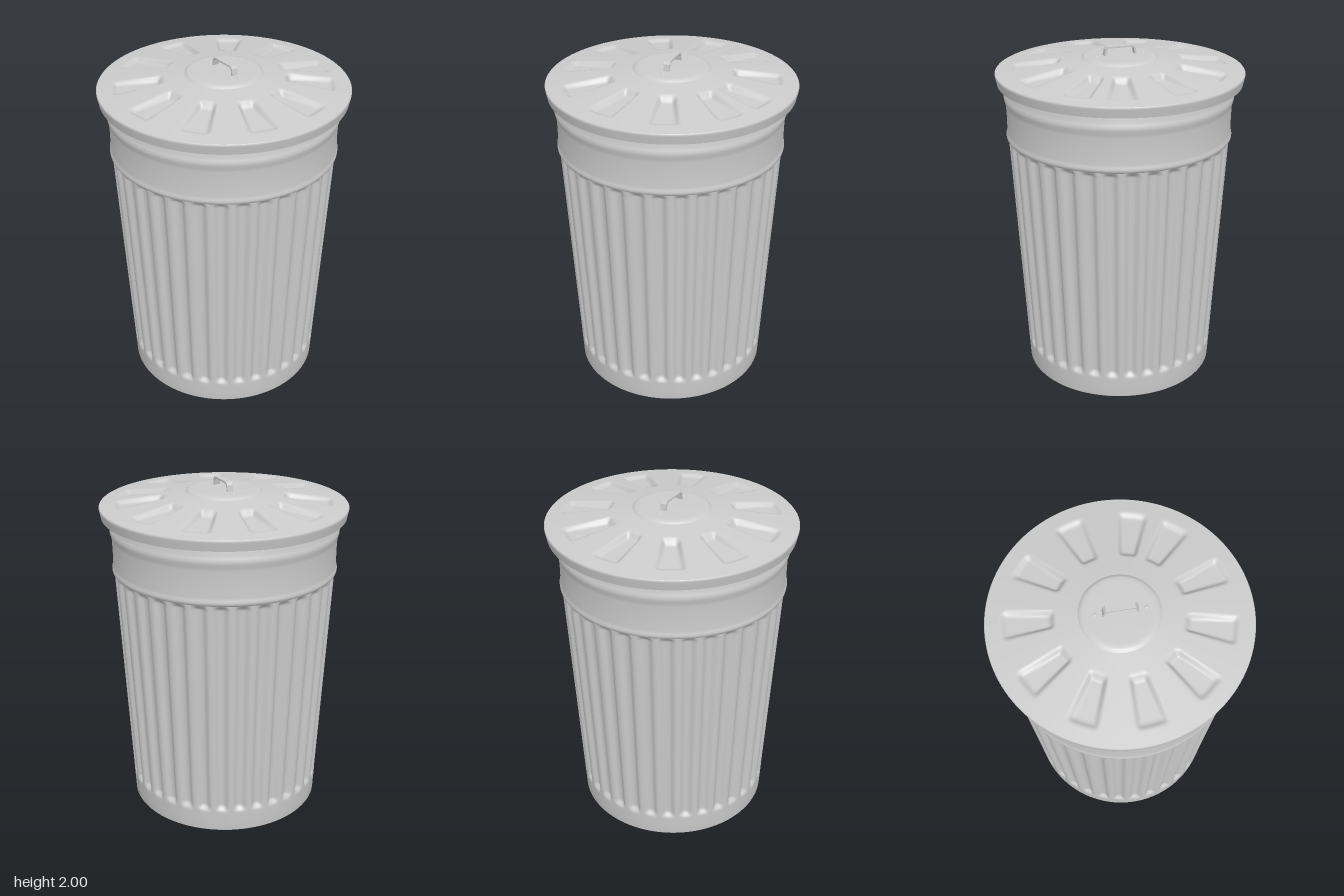
import * as THREE from 'three';
import { mergeVertices } from 'three/addons/utils/BufferGeometryUtils.js';

const material = new THREE.MeshStandardMaterial({ color: 0xcccccc, side: THREE.DoubleSide });
const { smoothstep, lerp } = THREE.MathUtils;

// Lathe from [radius, y] pairs
function lathe(points, segments) {
  return new THREE.LatheGeometry(points.map(([r, y]) => new THREE.Vector2(r, y)), segments);
}

// Move every vertex by rule(vertex, radius, angle), then weld and smooth
function deform(geometry, rule) {
  geometry.deleteAttribute('uv');
  geometry.deleteAttribute('normal');
  const pos = geometry.attributes.position;
  const v = new THREE.Vector3();
  for (let i = 0; i < pos.count; i++) {
    v.fromBufferAttribute(pos, i);
    rule(v, Math.hypot(v.x, v.z), Math.atan2(v.z, v.x));
    pos.setXYZ(i, v.x, v.y, v.z);
  }
  const welded = mergeVertices(geometry, 1e-5);
  welded.computeVertexNormals();
  return welded;
}

function add(parent, name, geometry) {
  const mesh = new THREE.Mesh(geometry, material);
  mesh.name = name;
  parent.add(mesh);
  return mesh;
}

// Tapered wall with vertical flutes pressed inward
function flutedWall() {
  const flutes = 34, bottom = 0.13, top = 1.475;
  const wallRadius = y => lerp(0.57, 0.648, y / 1.48);
  const heights = [0.006, 0.06, 0.11];
  for (let i = 0; i <= 6; i++) heights.push(bottom + i * 0.008);
  for (let i = 1; i < 10; i++) heights.push(lerp(0.18, 1.43, i / 10));
  for (let i = 0; i <= 6; i++) heights.push(1.43 + i * 0.0075);
  const profile = [[0.566, 0], ...heights.map(y => [wallRadius(y), y])];
  return deform(lathe(profile, flutes * 10), (v, r, a) => {
    const ends = smoothstep(v.y, bottom, bottom + 0.04) * (1 - smoothstep(v.y, top - 0.035, top));
    const wave = smoothstep(0.5 - 0.5 * Math.cos(a * flutes), 0.1, 0.9);
    const k = 1 - (0.024 * wave * ends) / r;
    v.x *= k;
    v.z *= k;
  });
}

// Shallow cone with radial pockets pressed into it
function lidTop() {
  const pockets = [];
  for (let i = 0; i < 11; i++) pockets.push(THREE.MathUtils.degToRad(-51 + i * 33.7));
  const profile = [];
  for (let i = 0; i <= 48; i++) {
    const r = lerp(0.713, 0.222, i / 48);
    profile.push([r, lerp(1.862, 1.932, (0.713 - r) / 0.491)]);
  }
  return deform(lathe(profile, 360), (v, r, a) => {
    const radial = smoothstep(r, 0.34, 0.375) * (1 - smoothstep(r, 0.595, 0.63));
    if (radial === 0) return;
    for (const p of pockets) {
      const d = Math.abs(Math.atan2(Math.sin(a - p), Math.cos(a - p)));
      const across = 1 - smoothstep(d * r, 0.125 * r - 0.02, 0.125 * r + 0.01);
      v.y -= lerp(0.034, 0.018, (r - 0.34) / 0.29) * radial * across;
    }
  });
}

function createModel() {
  const model = new THREE.Group();
  model.name = 'trashCan';

  // Can body
  const can = new THREE.Group();
  can.name = 'can';
  can.position.set(0.005, 0, 0.006);
  model.add(can);
  add(can, 'flutedWall', flutedWall());
  const base = add(can, 'base', new THREE.CircleGeometry(0.566, 96));
  base.rotation.x = Math.PI / 2;

  // Smooth collar with a bead at each end
  add(can, 'collar', lathe([
    [0.646, 1.47], [0.653, 1.474], [0.659, 1.483], [0.66, 1.493], [0.657, 1.505], [0.653, 1.52],
    [0.653, 1.6], [0.655, 1.67], [0.659, 1.69], [0.665, 1.71], [0.666, 1.725], [0.662, 1.742],
    [0.656, 1.755], [0.655, 1.775], [0.65, 1.79], [0.642, 1.8], [0.64, 1.85],
  ], 128));

  // Lid
  const lid = new THREE.Group();
  lid.name = 'lid';
  model.add(lid);
  add(lid, 'lidTop', lidTop());
  add(lid, 'lidUnderside', lathe([[0.001, 1.85], [0.69, 1.85]], 128));
  add(lid, 'rimInside', lathe([[0.69, 1.85], [0.697, 1.8]], 128));
  add(lid, 'rimEdge', lathe([[0.697, 1.8], [0.706, 1.8]], 128));
  add(lid, 'rimOutside', lathe([[0.706, 1.8], [0.711, 1.825], [0.716, 1.848], [0.717, 1.857], [0.713, 1.862]], 128));
  add(lid, 'centreBoss', lathe([
    [0.222, 1.932], [0.216, 1.936], [0.21, 1.942], [0.2, 1.946], [0.18, 1.948], [0, 1.949],
  ], 96));

  // Bent strap handle: outer trapezoid minus inner trapezoid
  const strap = new THREE.Shape([
    [-0.098, 1.94], [-0.09, 1.985], [-0.078, 2], [0.078, 2], [0.09, 1.985], [0.098, 1.94],
    [0.086, 1.94], [0.079, 1.98], [0.072, 1.99], [-0.072, 1.99], [-0.079, 1.98], [-0.086, 1.94],
  ].map(([x, y]) => new THREE.Vector2(x, y)));
  const handle = add(lid, 'handle', new THREE.ExtrudeGeometry(strap, { depth: 0.036, bevelEnabled: false }));
  handle.position.set(0.003, 0, -0.022);

  // Rivets beside the handle
  for (const side of [-1, 1]) {
    const rivet = add(lid, 'rivet', new THREE.SphereGeometry(0.011, 16, 8, 0, Math.PI * 2, 0, Math.PI / 2));
    rivet.position.set(0.003 + side * 0.137, 1.947, -0.004);
    rivet.scale.y = 0.6;
  }
  return model;
}

export { createModel };
